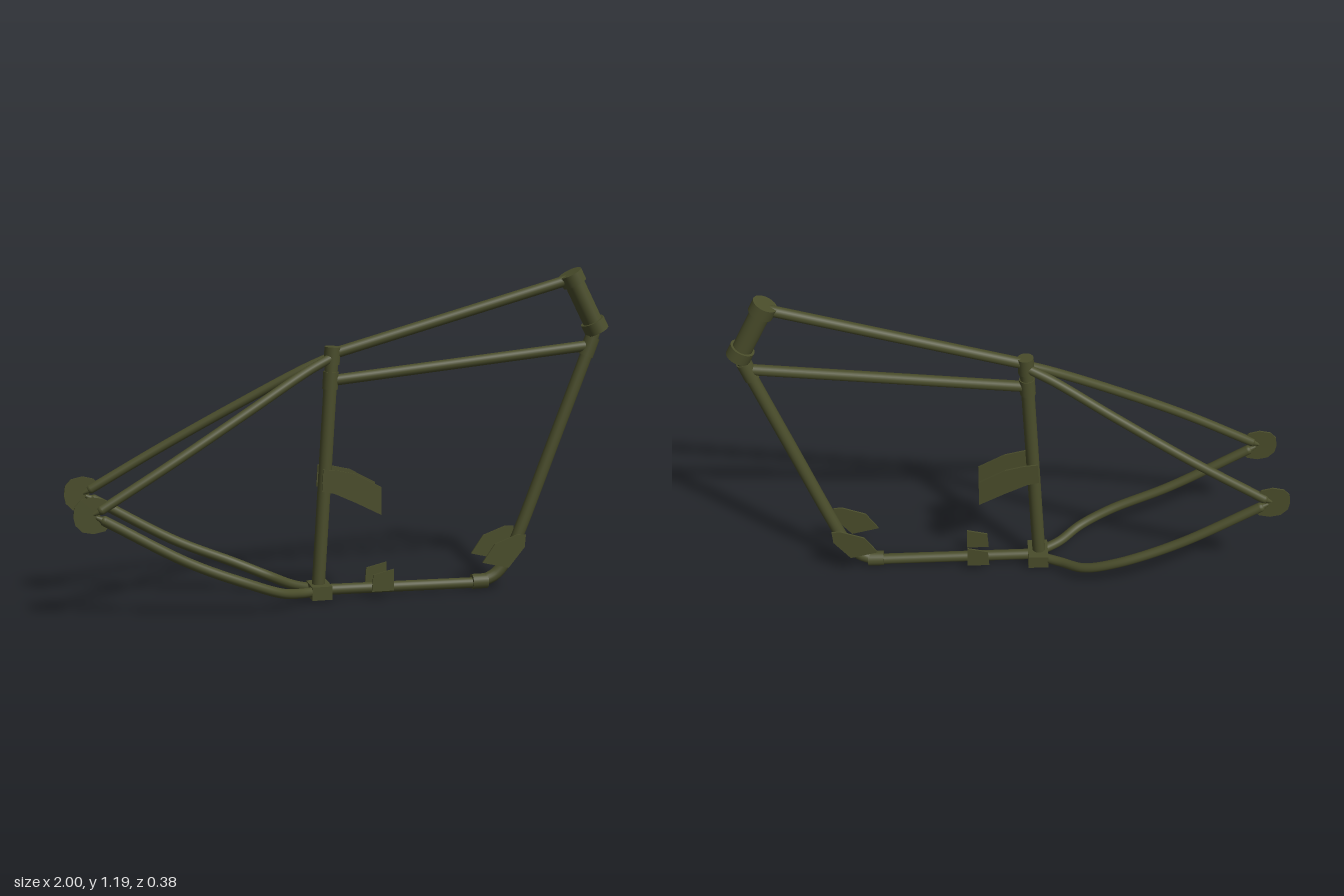
import * as THREE from 'three';

export function createModel() {
  const model = new THREE.Group();
  model.name = 'motorcycleFrame';
  const olive = new THREE.MeshStandardMaterial({ color: 0x4a4d2b, side: THREE.DoubleSide });
  olive.name = 'olive drab paint';

  const vec = (p) => new THREE.Vector3(p[0], p[1], p[2] || 0);
  function add(name, geometry) {
    const mesh = new THREE.Mesh(geometry, olive);
    mesh.name = name;
    model.add(mesh);
    return mesh;
  }
  // Straight capped cylinder between two points
  function rod(name, from, to, r0, r1 = r0) {
    const a = vec(from), b = vec(to), dir = b.clone().sub(a);
    const mesh = add(name, new THREE.CylinderGeometry(r1, r0, dir.length(), 24));
    mesh.position.copy(a).add(b).multiplyScalar(0.5);
    mesh.quaternion.setFromUnitVectors(new THREE.Vector3(0, 1, 0), dir.normalize());
  }
  // Bent tube with rounded ends
  function bent(name, points, r) {
    const pts = points.map(vec);
    add(name, new THREE.TubeGeometry(new THREE.CatmullRomCurve3(pts), 56, r, 16));
    for (const p of [pts[0], pts[pts.length - 1]]) {
      add(name + 'End', new THREE.SphereGeometry(r, 16, 10)).position.copy(p);
    }
  }
  // Thin vertical plate centred on a given z
  function plate(name, points, z, t = 0.006) {
    const shape = new THREE.Shape(points.map((p) => new THREE.Vector2(p[0], p[1])));
    const geo = new THREE.ExtrudeGeometry(shape, { depth: t, bevelEnabled: false });
    add(name, geo.translate(0, 0, z - t / 2));
  }

  // Steering head with a cup at each end
  const top = [0.848, 1.18], low = [0.96, 0.962];
  const along = (t) => [top[0] + (low[0] - top[0]) * t, top[1] + (low[1] - top[1]) * t];
  rod('headTube', along(0.03), along(0.97), 0.036);
  rod('upperHeadCup', along(0), along(0.18), 0.045);
  rod('lowerHeadCup', along(0.82), along(1), 0.045);

  // Main tubes
  rod('topTube', [-0.045, 0.912], [0.862, 1.16], 0.02);
  rod('middleTube', [-0.052, 0.815], [0.93, 0.91], 0.02);
  rod('seatTube', [-0.1, 0.04], [-0.046, 0.915], 0.024);
  rod('bottomTube', [-0.1, 0.042], [0.52, 0.031], 0.02);
  bent('downTube', [[0.945, 0.95], [0.93, 0.905], [0.8, 0.56], [0.675, 0.23], [0.63, 0.125],
    [0.58, 0.06], [0.52, 0.033]], 0.023);

  // Joint sleeves and bottom bracket block
  rod('seatTopSleeve', [-0.048, 0.875], [-0.044, 0.938], 0.029);
  rod('seatMidSleeve', [-0.054, 0.785], [-0.05, 0.848], 0.028);
  rod('downTubeSleeve', [0.917, 0.872], [0.942, 0.94], 0.028);
  rod('frontLowerSleeve', [0.488, 0.036], [0.547, 0.036], 0.028);
  add('bottomBlock', new THREE.BoxGeometry(0.075, 0.05, 0.104)).position.set(-0.095, 0.041, 0);

  for (const s of [1, -1]) {
    const side = s > 0 ? 'left' : 'right';
    // Rear stays
    bent(side + 'UpperStay', [[-0.05, 0.9, 0.01 * s], [-0.14, 0.858, 0.03 * s],
      [-0.36, 0.735, 0.088 * s], [-0.64, 0.575, 0.146 * s], [-0.9, 0.425, 0.173 * s]], 0.017);
    bent(side + 'LowerStay', [[-0.1, 0.042, 0.015 * s], [-0.18, 0.05, 0.062 * s],
      [-0.26, 0.073, 0.125 * s], [-0.38, 0.122, 0.16 * s], [-0.6, 0.217, 0.17 * s],
      [-0.89, 0.385, 0.173 * s]], 0.018);
    rod(side + 'UpperStayTip', [-0.9, 0.425, 0.173 * s], [-0.93, 0.41, 0.173 * s], 0.015, 0.006);
    rod(side + 'LowerStayTip', [-0.89, 0.385, 0.173 * s], [-0.92, 0.4, 0.173 * s], 0.015, 0.006);

    // Rear axle plate
    plate(side + 'AxlePlate', [[-0.998, 0.405], [-0.993, 0.44], [-0.972, 0.463], [-0.93, 0.472],
      [-0.89, 0.462], [-0.87, 0.44], [-0.908, 0.405], [-0.868, 0.376], [-0.89, 0.35],
      [-0.93, 0.342], [-0.968, 0.35], [-0.992, 0.375]], 0.173 * s);

    // Engine mounts
    plate(side + 'SeatTubeMount', [[-0.09, 0.5], [-0.04, 0.495], [0.03, 0.478], [0.126, 0.425],
      [0.126, 0.322], [0.03, 0.372], [-0.05, 0.41], [-0.095, 0.42]], 0.047 * s);
    plate(side + 'LowerMount', [[0.09, 0.037], [0.172, 0.037], [0.172, 0.118], [0.095, 0.1]], 0.053 * s);
    plate(side + 'DownTubeMount', [[0.506, 0.125], [0.552, 0.193], [0.64, 0.225], [0.672, 0.222],
      [0.668, 0.175], [0.607, 0.1]], 0.071 * s);
  }
  return model;
}
